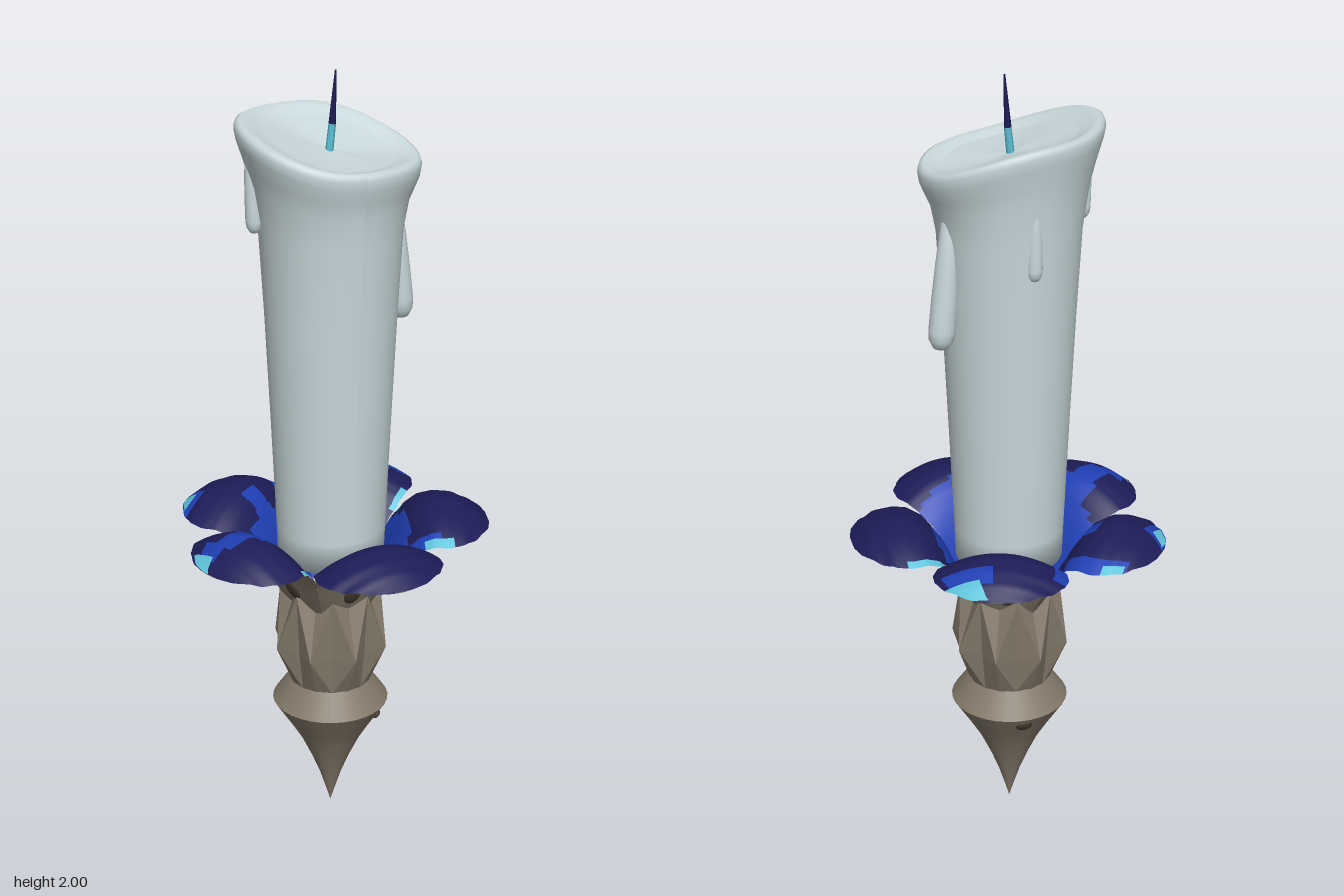
import * as THREE from 'three';
import { mergeVertices } from 'three/addons/utils/BufferGeometryUtils.js';

const mat = (name, color) => Object.assign(new THREE.MeshStandardMaterial({ color }), { name });

// Piecewise-linear lookup in [x, y] pairs
function lookup(table, x) {
  for (let i = 1; i < table.length; i++) {
    const [x0, y0] = table[i - 1], [x1, y1] = table[i];
    if (x <= x1) return y0 + (y1 - y0) * (x - x0) / (x1 - x0);
  }
  return table[table.length - 1][1];
}

// Grid surface facing row x column; pick(i, j) chooses a material index per cell
function gridSurface(rows, cols, point, pick, flip = false) {
  const pos = [], buckets = [[], [], []];
  for (let i = 0; i <= rows; i++) for (let j = 0; j <= cols; j++) pos.push(...point(i, j));
  for (let i = 0; i < rows; i++) for (let j = 0; j < cols; j++) {
    const a = i * (cols + 1) + j, b = a + cols + 1;
    const quad = flip ? [a, a + 1, b, b, a + 1, b + 1] : [a, b, a + 1, b, b + 1, a + 1];
    buckets[pick ? pick(i, j) : 0].push(...quad);
  }
  const g = new THREE.BufferGeometry();
  g.setAttribute('position', new THREE.Float32BufferAttribute(pos, 3));
  g.setIndex(buckets.flat());
  if (pick) {
    let start = 0;
    buckets.forEach((b, m) => { if (b.length) g.addGroup(start, b.length, m); start += b.length; });
  }
  g.computeVertexNormals();
  return g;
}

export function createModel() {
  const model = new THREE.Group();
  const wax = mat('wax', 0xc9d8dc), bronze = mat('bronze', 0x857a6b), spotBrown = mat('darkBrown', 0x4a3d33);
  const navy = mat('navy', 0x1d1c57), blue = mat('blue', 0x1f3fb4), cyan = mat('cyan', 0x5fc3da);
  const add = (parent, name, geo, material) => {
    const m = new THREE.Mesh(geo, material);
    m.name = name;
    parent.add(m);
    return m;
  };
  const lathe = (pts, n = 32) => new THREE.LatheGeometry(pts.map(p => new THREE.Vector2(...p)), n);

  // Pointed foot and collar
  const holder = new THREE.Group();
  holder.name = 'holder';
  holder.position.z = -0.018;
  model.add(holder);
  add(holder, 'spike', lathe([[0, 0], [0.012, 0.04], [0.028, 0.09], [0.05, 0.145], [0.078, 0.205], [0.105, 0.25], [0.15, 0.32]]), bronze);
  add(holder, 'collar', lathe([[0.15, 0.32], [0.105, 0.385]]), bronze);

  // Faceted stem: ridges and valleys alternate around each ring [even radius, odd radius, height]
  const n = 16, rings = [[0.105, 0.105, 0.38], [0.152, 0.118, 0.49], [0.097, 0.128, 0.655]], tris = [];
  const corner = (k, j) => {
    const a = j * 2 * Math.PI / n, r = rings[k][Math.abs(j % 2)];
    return [r * Math.sin(a), rings[k][2], r * Math.cos(a)];
  };
  for (let k = 0; k < 2; k++) for (let j = 0; j < n; j += 2) for (const [p, q] of [[j, j + 1], [j, j - 1]]) {
    const faces = [[corner(k, p), corner(k, q), corner(k + 1, k ? q : p)],
      k ? [corner(k, p), corner(k + 1, q), corner(k + 1, p)] : [corner(k, q), corner(k + 1, q), corner(k + 1, p)]];
    for (const [a, b, c] of faces) tris.push(...a, ...(q > p ? [...b, ...c] : [...c, ...b]));
  }
  const stem = new THREE.BufferGeometry();
  stem.setAttribute('position', new THREE.Float32BufferAttribute(tris, 3));
  stem.computeVertexNormals();
  add(holder, 'facetedStem', stem, bronze);

  // Dark flecks of worn metal
  const fleckGeo = new THREE.SphereGeometry(1, 12, 8);
  const addFleck = (parent, angle, r, y, w, h, tilt) => {
    const fleck = add(parent, 'fleck', fleckGeo, spotBrown);
    fleck.scale.set(w, h, 0.008);
    fleck.position.set(r * Math.sin(angle), y, r * Math.cos(angle));
    fleck.rotation.set(tilt, angle, 0, 'YXZ');
  };
  addFleck(holder, 0.75, 0.129, 0.288, 0.014, 0.012, 0.57);
  addFleck(holder, 2.88, 0.133, 0.295, 0.022, 0.02, 0.57);

  // Domed petals: half width, ridge height and edge droop by radius
  const width = [[0.09, 0.066], [0.16, 0.116], [0.2, 0.14], [0.24, 0.158], [0.28, 0.167], [0.32, 0.158],
    [0.36, 0.125], [0.385, 0.088], [0.395, 0.072], [0.405, 0.03]];
  const ridge = [[0.09, 0.61], [0.12, 0.67], [0.15, 0.735], [0.18, 0.795], [0.21, 0.838], [0.245, 0.862],
    [0.28, 0.87], [0.33, 0.861], [0.37, 0.842], [0.405, 0.812]];
  const droop = [[0.09, 0], [0.15, 0], [0.2, 0.04], [0.28, 0.06], [0.35, 0.042], [0.405, 0]];
  const rows = 40, cols = 40;
  const radius = i => 0.09 + 0.315 * Math.sin(i / rows * Math.PI / 2);
  const petalPoint = thickness => (i, j) => {
    const u = radius(i), t = j / cols * 2 - 1;
    const y = lookup(ridge, u) - lookup(droop, u) * t * t - thickness * (1 - t * t) * (1 - (i / rows) ** 4);
    return [t * lookup(width, u), y, u];
  };
  // Glaze patches: petal, side range, radius range, material (1 blue, 2 cyan)
  const patches = [
    [1, 0.9, 1, 0.19, 0.29, 2], [1, -1, -0.87, 0.22, 0.29, 2], [1, -1, -0.75, 0.19, 0.26, 1],
    [2, -1, -0.35, 0.355, 0.398, 2], [2, -0.9, -0.1, 0.315, 0.365, 1], [2, -0.2, 0.2, 0.18, 0.245, 1],
    [2, 0.82, 1, 0.2, 0.31, 1], [2, -1, -0.9, 0.19, 0.24, 2],
    [3, 0.45, 0.95, 0.365, 0.4, 2], [3, 0.3, 1, 0.345, 0.402, 1], [3, -0.2, 0.2, 0.18, 0.24, 1],
    [3, -1, -0.85, 0.3, 0.352, 2], [3, -1, -0.75, 0.2, 0.36, 1],
    [4, -0.9, -0.25, 0.372, 0.405, 2], [4, -0.65, -0.15, 0.33, 0.38, 1], [4, -0.42, -0.02, 0.25, 0.335, 1],
    [4, -0.5, 0.15, 0.2, 0.25, 1], [4, 0.88, 1, 0.17, 0.23, 2],
  ];
  const innerBlue = [0.24, 0.2, 0.195, 0.195, 0.21];
  const glaze = k => (i, j) => {
    const u = (radius(i) + radius(i + 1)) / 2, t = (j + 0.5) / cols * 2 - 1;
    const hit = patches.find(p => p[0] === k && t > p[1] && t < p[2] && u > p[3] && u < p[4]);
    return hit ? hit[5] : u < innerBlue[k] - 0.03 * t * t ? 1 : 0;
  };
  const under = gridSurface(rows, cols, petalPoint(0.02), null, true);
  for (let k = 0; k < 5; k++) {
    const petal = new THREE.Group();
    petal.name = 'petal' + (k + 1);
    petal.rotation.y = k * 2 * Math.PI / 5;
    holder.add(petal);
    add(petal, 'petalTop', gridSurface(rows, cols, petalPoint(0), glaze(k)), [navy, blue, cyan]);
    add(petal, 'petalUnderside', under, bronze);
    addFleck(petal, 0, 0.13, 0.675, 0.024, 0.035, 0.45);
  }

  // Candle: flaring wall with slanted melted rim, then the pool [radius, y, slant]
  const candle = new THREE.Group();
  candle.name = 'candle';
  candle.position.set(0.003, 0, -0.02);
  model.add(candle);
  const wall = [[0, 0.74, 0], [0.135, 0.74, 0], [0.138, 0.82, 0], [0.15, 1.1, 0], [0.164, 1.4, 0], [0.176, 1.62, 0.1],
    [0.188, 1.71, 0.5], [0.2, 1.755, 0.8], [0.212, 1.795, 1], [0.216, 1.82, 1], [0.212, 1.834, 1],
    [0.203, 1.839, 1], [0.185, 1.834, 0.92], [0.157, 1.823, 0.8]];
  const pool = [[0.157, 1.823, 0.8], [0.12, 1.816, 0.6], [0.06, 1.808, 0.3], [0, 1.805, 0]];
  const sides = 48;
  const waxSurface = profile => {
    const g = mergeVertices(gridSurface(profile.length - 1, sides, (i, j) => {
      const a = -(j % sides) / sides * 2 * Math.PI, [r, y, s] = profile[i];
      const rr = r * (1 - s * (0.06 * Math.cos(2 * a) + 0.03 * Math.sin(a)));
      const lift = -0.036 * Math.sin(a) - 0.038 * Math.cos(a) + 0.008 * Math.sin(3 * a);
      return [rr * Math.sin(a), y + s * lift, rr * Math.cos(a)];
    }));
    g.computeVertexNormals();
    return g;
  };
  add(candle, 'candleBody', waxSurface(wall), wax);
  add(candle, 'waxPool', waxSurface(pool), wax);

  // Wax drips sinking into the wall at their tops
  const dripGeo = lathe([[0, 0], [0.018, 0.005], [0.03, 0.025], [0.033, 0.05], [0.032, 0.12], [0.029, 0.22], [0.022, 0.33], [0, 0.38]], 16);
  for (const [x, y, z, size, lean] of [[0.197, 1.345, -0.005, 1, 0.1], [-0.188, 1.615, -0.03, 0.62, 0.04], [0.03, 1.54, -0.162, 0.6, 0]]) {
    const drip = add(candle, 'waxDrip', dripGeo, wax);
    drip.position.set(x, y, z);
    drip.scale.setScalar(size);
    drip.rotation.z = lean;
  }

  // Wick in two colours
  const wickPart = (name, x0, y0, x1, y1, r0, r1, material) => {
    const w = add(candle, name, new THREE.CylinderGeometry(r1, r0, Math.hypot(x1 - x0, y1 - y0), 6), material);
    w.position.set((x0 + x1) / 2, (y0 + y1) / 2, 0);
    w.rotation.z = -Math.atan2(x1 - x0, y1 - y0);
  };
  wickPart('wickBase', -0.006, 1.785, 0.004, 1.87, 0.01, 0.009, cyan);
  wickPart('wickTip', 0.004, 1.87, 0.013, 2, 0.009, 0.002, navy);
  return model;
}
